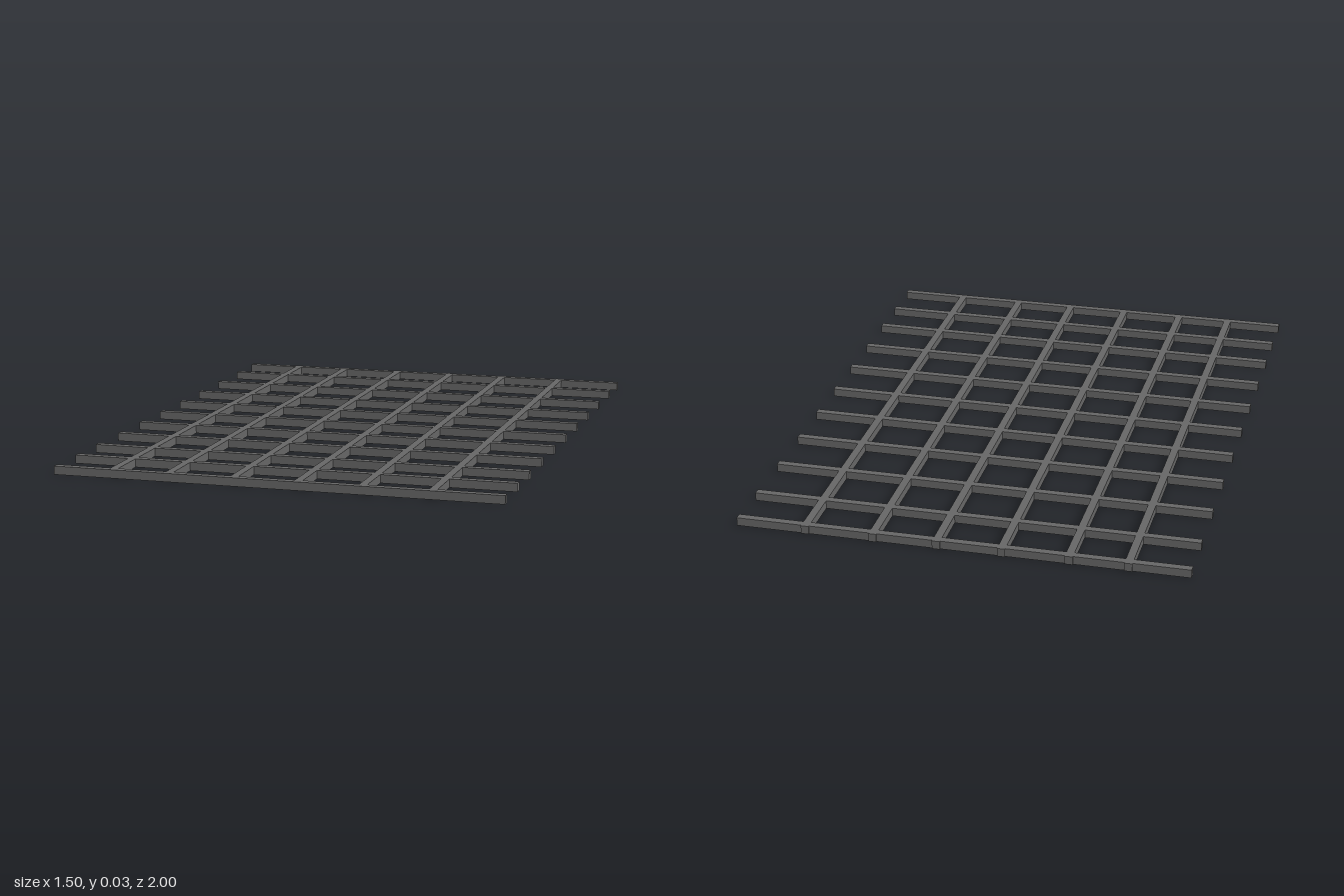
import * as THREE from 'three';

export function createModel() {
  const group = new THREE.Group();
  const material = new THREE.MeshStandardMaterial({ color: 0x666666 });
  const width = 0.026, height = 0.028;

  function addBar(name, sizeX, sizeZ, x, z) {
    const bar = new THREE.Mesh(new THREE.BoxGeometry(sizeX, height, sizeZ), material);
    bar.name = name;
    bar.position.set(x, height / 2, z);
    group.add(bar);
  }

  // Bars running across the grate, a little unevenly spaced
  const crossZ = [-0.983, -0.803, -0.585, -0.37, -0.163, 0.039, 0.239, 0.439, 0.638, 0.812, 0.987];
  crossZ.forEach((z, i) => addBar(`crossBar${i + 1}`, 1.495, width, 0, z));

  // Bars running along the grate, reaching just past the back cross bar
  const longX = [-0.547, -0.356, -0.137, 0.077, 0.288, 0.515];
  longX.forEach((x, i) => addBar(`longBar${i + 1}`, width, 1.99, x, -0.005));

  return group;
}
